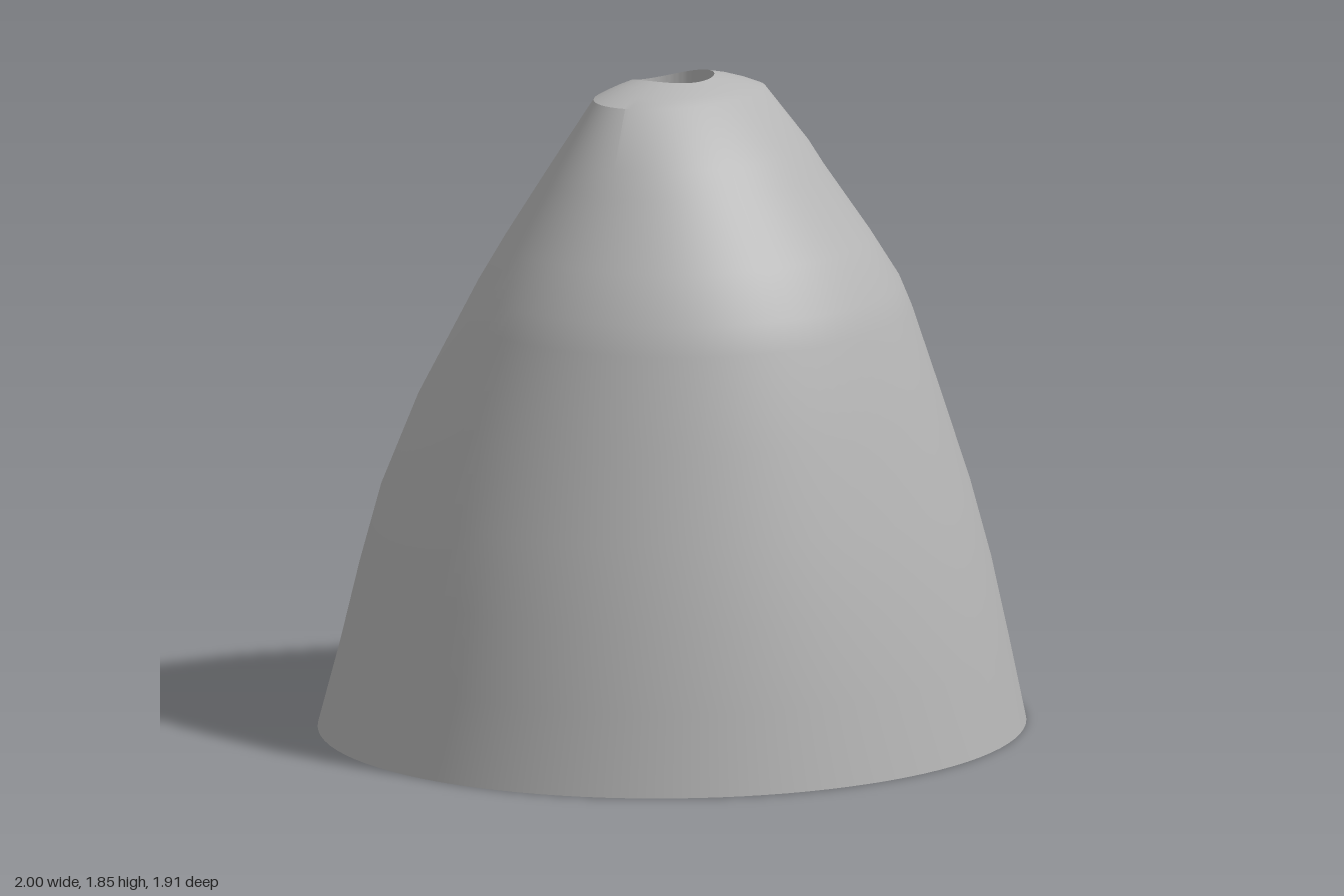
import * as THREE from 'three';
import { toCreasedNormals } from 'three/addons/utils/BufferGeometryUtils.js';

const SEG = 96;

// Horizontal elliptical ring; height may be a number or a function of (x, z)
function ring(rx, rz, cz, height) {
  return Array.from({ length: SEG }, (_, i) => {
    const a = (i / SEG) * Math.PI * 2;
    const x = rx * Math.cos(a), z = cz + rz * Math.sin(a);
    return [x, typeof height === 'function' ? height(x, z) : height, z];
  });
}

// Skin joining successive closed rings
function loft(rings, crease) {
  const n = rings[0].length, index = [];
  for (let j = 0; j < rings.length - 1; j++) {
    for (let i = 0; i < n; i++) {
      const k = (i + 1) % n;
      const a = j * n + i, b = j * n + k, c = a + n, d = b + n;
      index.push(a, c, b, b, c, d);
    }
  }
  const g = new THREE.BufferGeometry();
  g.setAttribute('position', new THREE.Float32BufferAttribute(rings.flat(2), 3));
  g.setIndex(index);
  return toCreasedNormals(g, crease);
}

export function createModel() {
  const group = new THREE.Group();
  const grey = new THREE.MeshStandardMaterial({ color: 0xb4b4b4 });
  grey.name = 'grey';
  const add = (name, geometry) => {
    const mesh = new THREE.Mesh(geometry, grey);
    mesh.name = name;
    group.add(mesh);
    return mesh;
  };

  // Cross-sections: height, half width, front z, back z
  const sections = [
    [0, 1, 0.957, -0.956], [0.23, 0.944, 0.92, -0.895], [0.46, 0.89, 0.877, -0.842],
    [0.68, 0.828, 0.825, -0.787], [0.93, 0.737, 0.757, -0.684], [1.19, 0.635, 0.68, -0.53],
    [1.27, 0.6, 0.648, -0.485], [1.4, 0.523, 0.56, -0.408], [1.58, 0.412, 0.406, -0.286],
    [1.65, 0.37, 0.357, -0.238], [1.8, 0.267, 0.21, -0.134],
  ];
  const rings = sections.map(([y, rx, f, b]) => ring(rx, (f - b) / 2, (f + b) / 2, y));

  // Shallow domed cap that narrows to the round hole
  const dome = (x, z) => 1.8 + 0.06 * (1 - (x / 0.267) ** 2 - ((z - 0.038) / 0.172) ** 2);
  const holeR = 0.115, holeZ = 0.005, holeFloor = 1.4;
  for (const t of [0.33, 0.67, 1]) {
    const mix = (a, b) => a + (b - a) * t;
    rings.push(ring(mix(0.267, holeR), mix(0.172, holeR), mix(0.038, holeZ), dome));
  }
  add('body', loft(rings, 0.47));

  // Blind round hole in the top
  add('topHoleWall', loft([rings[rings.length - 1], ring(holeR, holeR, holeZ, holeFloor)], 0.5));
  add('topHoleFloor', new THREE.CircleGeometry(holeR, SEG).rotateX(-Math.PI / 2))
    .position.set(0, holeFloor, holeZ);

  // Flat underside with a rectangular opening
  const x0 = 0, x1 = 0.41, zh = 0.4, depth = 0.6;
  const corners = [[x0, -zh], [x1, -zh], [x1, zh], [x0, zh]];
  const base = new THREE.Shape(rings[0].map(([x, , z]) => new THREE.Vector2(x, z)));
  base.holes.push(new THREE.Path(corners.map(([x, z]) => new THREE.Vector2(x, z))));
  add('underside', new THREE.ShapeGeometry(base).rotateX(Math.PI / 2));

  // Pocket walls and ceiling
  const level = (y) => corners.map(([x, z]) => [x, y, z]);
  add('pocketWalls', loft([level(depth), level(0)], 0.5));
  add('pocketCeiling', new THREE.PlaneGeometry(x1 - x0, 2 * zh).rotateX(Math.PI / 2))
    .position.set((x0 + x1) / 2, depth, 0);

  return group;
}
